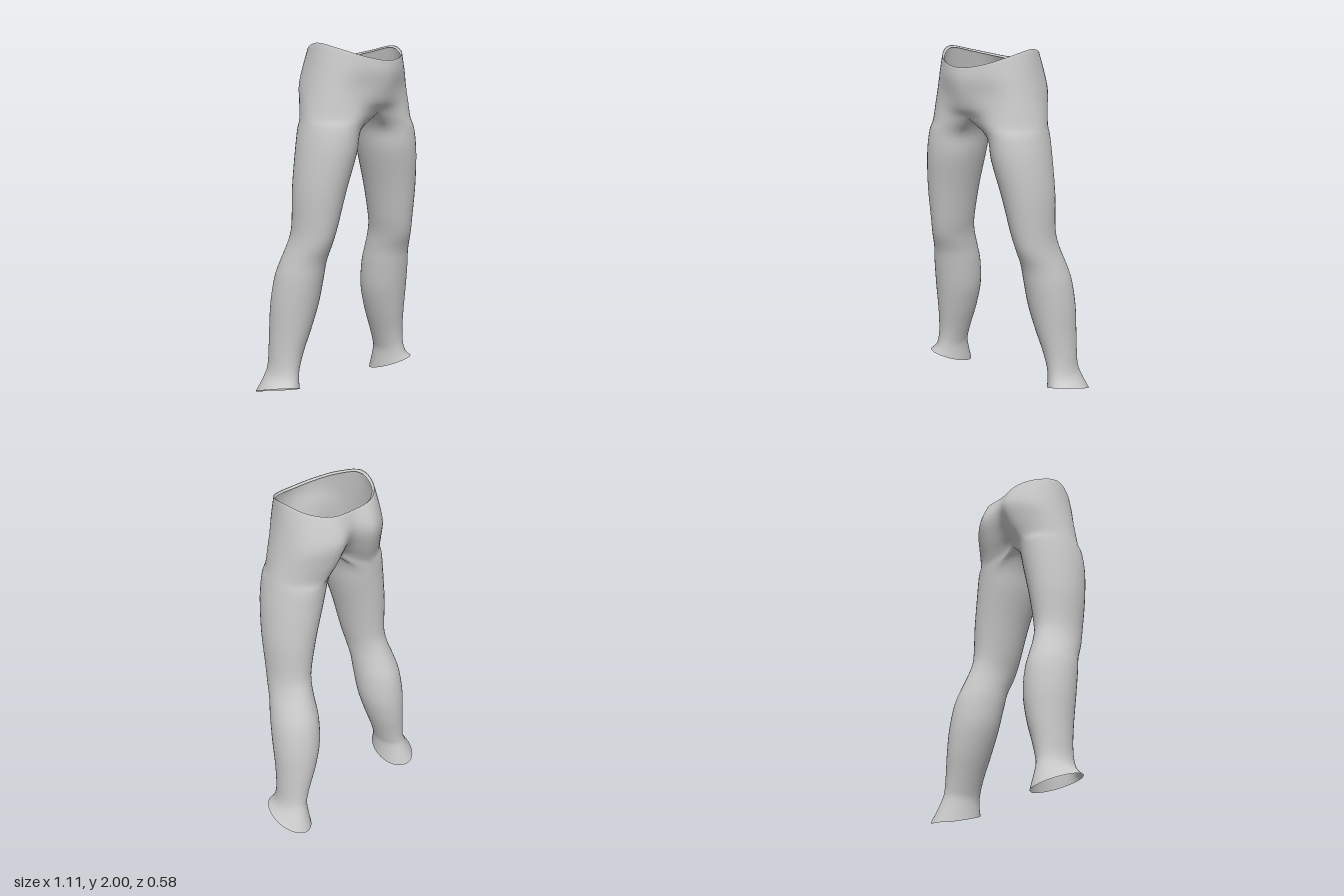
import * as THREE from 'three';
import { mergeVertices } from 'three/addons/utils/BufferGeometryUtils.js';

const M = 30; // columns around the outside, from front seam to back seam
const K = 10; // columns along the inside of the leg
const N = M + K;
const SUB = 4; // steps between key rows

// Half rows of the hips: front seam, front, front corner, side, back corner, back, back seam
const hipRows = [
  [[0, 1.905, 0.285], [0.13, 1.925, 0.25], [0.228, 1.965, 0.16], [0.28, 2, 0.03], [0.238, 1.975, -0.105], [0.14, 1.95, -0.178], [0, 1.937, -0.18]],
  [[0, 1.84, 0.29], [0.14, 1.85, 0.25], [0.25, 1.86, 0.16], [0.298, 1.87, 0.02], [0.26, 1.86, -0.13], [0.13, 1.85, -0.225], [0, 1.85, -0.203]],
  [[0, 1.76, 0.278], [0.15, 1.76, 0.235], [0.268, 1.76, 0.16], [0.317, 1.76, 0.02], [0.275, 1.77, -0.14], [0.13, 1.78, -0.233], [0, 1.77, -0.187]],
  [[0, 1.68, 0.255], [0.17, 1.68, 0.228], [0.285, 1.68, 0.16], [0.335, 1.67, 0.02], [0.285, 1.68, -0.125], [0.14, 1.68, -0.205], [0, 1.69, -0.138]],
  [[0, 1.625, 0.215], [0.18, 1.6, 0.233], [0.3, 1.59, 0.165], [0.352, 1.59, 0.03], [0.3, 1.59, -0.105], [0.16, 1.59, -0.17], [0, 1.63, -0.09]],
];

// Leg rings: height, inner x, outer x, front z, back z
const legRings = [
  [1.53, 0.046, 0.364, 0.235, -0.162],
  [1.4, 0.075, 0.386, 0.23, -0.155],
  [1.2, 0.13, 0.405, 0.195, -0.145],
  [1.0, 0.175, 0.405, 0.158, -0.138],
  [0.9, 0.195, 0.415, 0.133, -0.16],
  [0.8, 0.2, 0.44, 0.092, -0.197],
  [0.7, 0.2, 0.463, 0.07, -0.23],
  [0.55, 0.213, 0.478, 0.04, -0.25],
  [0.4, 0.255, 0.48, 0.01, -0.25],
  [0.28, 0.298, 0.484, -0.013, -0.241],
  [0.19, 0.328, 0.49, -0.02, -0.238],
  [0.13, 0.34, 0.508, -0.012, -0.248],
];
const hem = [0.046, 0.333, 0.553, 0.005, -0.294];

// Smooth interpolation through four points
function spline(p0, p1, p2, p3, t) {
  return p1.map((b, i) => {
    const a = p0[i], c = p2[i], d = p3[i];
    return 0.5 * (2 * b + (c - a) * t + (2 * a - 5 * b + 4 * c - d) * t * t + (3 * b - a - 3 * c + d) * t * t * t);
  });
}
const flip = ([x, y, z]) => [-x, y, z];

// Resample a half row, continuing smoothly across the centre line
function hipRow(row) {
  const p = [flip(row[1]), ...row, flip(row[5])];
  return Array.from({ length: M + 1 }, (_, c) => {
    const u = (c / M) * 6, i = Math.min(5, Math.floor(u));
    return spline(p[i], p[i + 1], p[i + 2], p[i + 3], u - i);
  });
}

function legRing([y, xi, xo, zf, zb], tiltFront = 0, tiltOut = 0) {
  return Array.from({ length: N }, (_, c) => {
    const deg = c <= M ? 135 - (c / M) * 270 : -135 - ((c - M) / K) * 90;
    const co = Math.cos(deg * Math.PI / 180), si = Math.sin(deg * Math.PI / 180);
    return [
      (xi + xo) / 2 + co * (xo - xi) / 2,
      Math.max(0, y + tiltFront * si + tiltOut * co),
      (zf + zb) / 2 + si * (zf - zb) / 2,
    ];
  });
}

function trouserGeometry() {
  // Key rows: waist lip, hips, legs, tilted flared hem
  const top = hipRow(hipRows[0]);
  const lip = top.map(([x, y, z]) => [x * 0.95, y - 0.012, 0.05 + (z - 0.05) * 0.95]);
  const rows = [lip, ...hipRows.map(hipRow), ...legRings.map(r => legRing(r)), legRing(hem, 0.045, 0.022)];
  const crotch = hipRows.length;

  // Seam between the legs closes the lowest hip row into a ring
  const back = rows[crotch][M], front = rows[crotch][0];
  for (let k = 1; k < K; k++) {
    const t = k / K;
    rows[crotch].push([0, back[1] + (front[1] - back[1]) * t - 0.02 * Math.sin(Math.PI * t), back[2] + (front[2] - back[2]) * t]);
  }

  // Subdivide down every column
  const grid = [];
  for (let r = 0; r < rows.length - 1; r++) {
    const inHips = r < crotch;
    for (let s = 0; s < SUB; s++) {
      const line = [];
      for (let c = 0; c < (inHips ? M + 1 : N); c++) {
        const p1 = rows[r][c], p2 = rows[r + 1][c];
        let p0 = r > 0 ? rows[r - 1][c] : p1;
        if (!p0) p0 = flip(p2);
        if (r === 1) p0 = p1; // firm edge at the waist
        const p3 = r === 0 ? p2 : (rows[r + 2] || rows[r + 1])[c];
        const p = spline(p0, p1, p2, p3, s / SUB);
        p[0] = inHips && c % M === 0 ? 0 : Math.max(0, p[0]);
        line.push(p);
      }
      grid.push(line);
    }
  }
  grid.push(rows[rows.length - 1]);

  // Both halves share the vertices on the centre line
  const pos = [], index = [];
  for (const side of [1, -1]) {
    const start = [];
    for (const line of grid) {
      start.push(pos.length / 3);
      for (const [x, y, z] of line) pos.push(x === 0 ? 0 : x * side, y, z);
    }
    for (let r = 0; r < grid.length - 1; r++) {
      const closed = r >= crotch * SUB;
      for (let c = 0; c < (closed ? N : M); c++) {
        const d = closed ? (c + 1) % N : c + 1;
        const a = start[r] + c, b = start[r + 1] + c, e = start[r + 1] + d, f = start[r] + d;
        if (side > 0) index.push(a, b, f, b, e, f);
        else index.push(a, f, b, b, f, e);
      }
    }
  }
  const g = new THREE.BufferGeometry();
  g.setAttribute('position', new THREE.Float32BufferAttribute(pos, 3));
  g.setIndex(index);
  const merged = mergeVertices(g, 1e-5);
  merged.computeVertexNormals();
  return merged;
}

export function createModel() {
  const group = new THREE.Group();
  group.name = 'trousers';
  const cloth = new THREE.MeshStandardMaterial({ color: 0xcccccc, side: THREE.DoubleSide });
  const mesh = new THREE.Mesh(trouserGeometry(), cloth);
  mesh.name = 'hipsAndLegs';
  group.add(mesh);
  return group;
}
